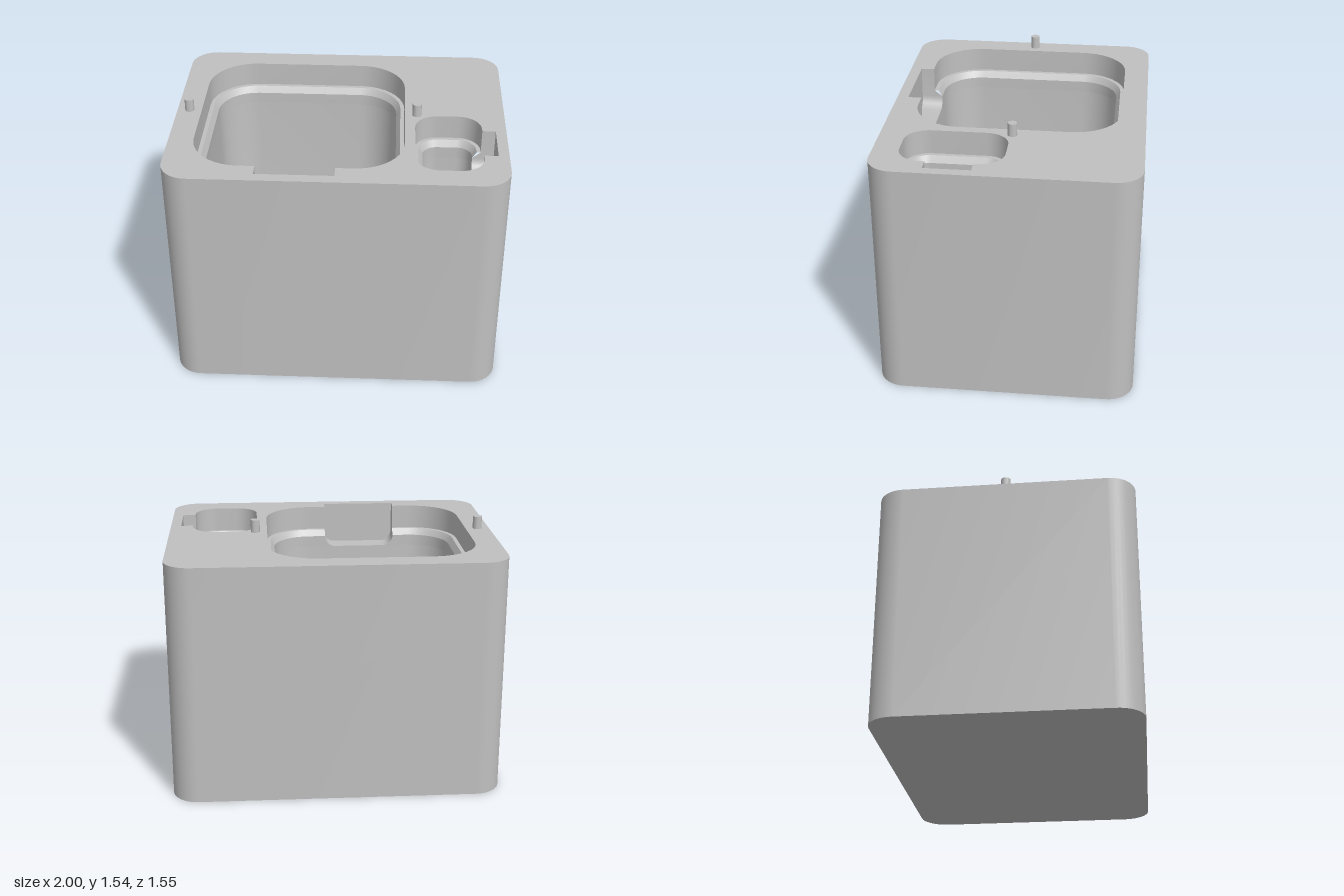
import * as THREE from 'three';
import { toCreasedNormals } from 'three/addons/utils/BufferGeometryUtils.js';

const H = 1.465; // block height
const grey = new THREE.MeshStandardMaterial({ color: 0xc0c0c0 });
grey.name = 'plain grey';

function part(name, geometry) {
  const mesh = new THREE.Mesh(toCreasedNormals(geometry, 0.5), grey);
  mesh.name = name;
  return mesh;
}

// Skin rows of [x, y, z] points
function grid(rows) {
  const n = rows[0].length, index = [];
  for (let j = 0; j < rows.length - 1; j++) {
    for (let i = 0; i < n - 1; i++) {
      const a = j * n + i, b = a + n;
      index.push(a, b, a + 1, b, b + 1, a + 1);
    }
  }
  const g = new THREE.BufferGeometry();
  g.setAttribute('position', new THREE.Float32BufferAttribute(rows.flat(2), 3));
  g.setIndex(index);
  g.computeVertexNormals();
  return g;
}

// Rounded rectangle as [x, z], open on its +z side between x = a and x = b
function rim(hx, hz, r, a = 0, b = 0) {
  const pts = [[a, hz]];
  [[-1, 1], [-1, -1], [1, -1], [1, 1]].forEach(([sx, sz], k) => {
    for (let i = 0; i <= 10; i++) {
      const t = (k + 1 + i / 10) * Math.PI / 2;
      pts.push([sx * (hx - r) + r * Math.cos(t), sz * (hz - r) + r * Math.sin(t)]);
    }
  });
  pts.push([b, hz]);
  return pts;
}

const atHeight = (pts, y) => pts.map(([x, z]) => [x, y, z]);

// Horizontal face looking up
function flat(outline, holes, y) {
  const to2 = (pts) => pts.map(([x, z]) => new THREE.Vector2(x, -z));
  const shape = new THREE.Shape(to2(outline));
  holes.forEach((h) => shape.holes.push(new THREE.Path(to2(h))));
  return new THREE.ShapeGeometry(shape).rotateX(-Math.PI / 2).translate(0, y, 0);
}

// Pocket with a stepped rim, filleted floor and a finger notch on its local +z side
function pocket(name, o) {
  const group = new THREE.Group();
  group.name = name;
  const { hx, hz, r, a, b, far, floorY, fillet } = o;
  const ring = (inset) => rim(hx - inset, hz - inset, r - inset, a, b);
  const ledge = H - 0.15, lip = H - 0.19, base = H - 0.26, inset = 0.05, nr = 0.07;

  // Rim and ledge, interrupted by the notch
  const steps = [[0, H], [0, ledge], [0.025, ledge], [inset, lip], [inset, base]];
  group.add(part('rimAndLedge', grid(steps.map(([d, y]) => atHeight(ring(d), y)))));

  // Cavity wall with slight draft and a fillet down to the floor
  const wall = [[inset, base]];
  for (let i = 0; i <= 8; i++) {
    const t = i / 8 * Math.PI / 2;
    wall.push([0.07 + fillet * (1 - Math.cos(t)), floorY + fillet * (1 - Math.sin(t))]);
  }
  group.add(part('cavityWall', grid(wall.map(([d, y]) => {
    const row = atHeight(ring(d), y);
    return [...row, row[0]];
  }))));

  // Floor, with an optional drain pit
  const holes = [];
  if (o.drain) {
    const circle = [];
    for (let i = 0; i < 32; i++) {
      const t = i / 16 * Math.PI;
      circle.push([0.082 * Math.sin(t), 0.082 * Math.cos(t)]);
    }
    holes.push(circle);
    const pit = [[0.082, 0], [0.065, -0.02], [0.065, -0.1], [0, -0.1]].map((p) => new THREE.Vector2(...p));
    group.add(part('drainPit', new THREE.LatheGeometry(pit, 32).translate(0, floorY, 0)));
  }
  group.add(part('cavityFloor', flat(ring(0.07 + fillet), holes, floorY)));

  // Notch trough with rounded lower corners
  const section = (top) => {
    const pts = [[a, top]];
    for (let i = 0; i <= 8; i++) {
      const t = i / 8 * Math.PI / 2;
      pts.push([a + nr * (1 - Math.cos(t)), base + nr * (1 - Math.sin(t))]);
    }
    for (let i = 8; i >= 0; i--) {
      const t = i / 8 * Math.PI / 2;
      pts.push([b - nr * (1 - Math.cos(t)), base + nr * (1 - Math.sin(t))]);
    }
    return [...pts, [b, top]];
  };
  const stations = [[hz - inset, lip], [hz, ledge], [hz, H], [far, H]];
  group.add(part('notchTrough', grid(stations.map(([z, top]) => section(top).map(([x, y]) => [x, y, z])))));

  // Notch end wall, and the corner fills flush with the cavity wall
  const end = new THREE.Shape(section(H).map(([x, y]) => new THREE.Vector2(-x, y)));
  group.add(part('notchEnd', new THREE.ShapeGeometry(end).rotateY(Math.PI).translate(0, 0, far)));
  const low = section(lip).map(([x, y]) => [x, y, hz - inset]);
  group.add(part('notchCorners', grid([low.map(([x, , z]) => [x, base, z]), low])));

  // Opening in the block's top face, in world x and z
  group.position.set(o.x, 0, o.z);
  group.rotation.y = o.turn;
  const c = Math.cos(o.turn), s = Math.sin(o.turn);
  const opening = [...ring(0), [b, far], [a, far]]
    .map(([x, z]) => [o.x + x * c + z * s, o.z - x * s + z * c]);
  return { group, opening };
}

export function createModel() {
  const model = new THREE.Group();
  model.name = 'block';

  const large = pocket('largePocket', {
    x: -0.228, z: 0, turn: 0, hx: 0.623, hz: 0.623, r: 0.29,
    a: -0.232, b: 0.228, far: 0.705, floorY: 0.22, fillet: 0.1, drain: true,
  });
  const small = pocket('smallPocket', {
    x: 0.657, z: 0.315, turn: Math.PI / 2, hx: 0.305, hz: 0.2, r: 0.14,
    a: -0.135, b: 0.14, far: 0.28, floorY: 0.22, fillet: 0.05,
  });
  model.add(large.group, small.group);

  // Outer block
  const outline = rim(1, 0.773, 0.16);
  model.add(part('sides', grid([atHeight(outline, 0), atHeight(outline, H)])));
  model.add(part('topFace', flat(outline, [large.opening, small.opening], H)));
  model.add(part('bottomFace', flat(outline, [], 0).rotateX(Math.PI)));

  // Locating pins
  for (const x of [-0.925, 0.468]) {
    const pin = part('locatingPin', new THREE.CylinderGeometry(0.028, 0.028, 0.08, 24));
    pin.position.set(x, H + 0.038, 0);
    model.add(pin);
  }
  return model;
}
